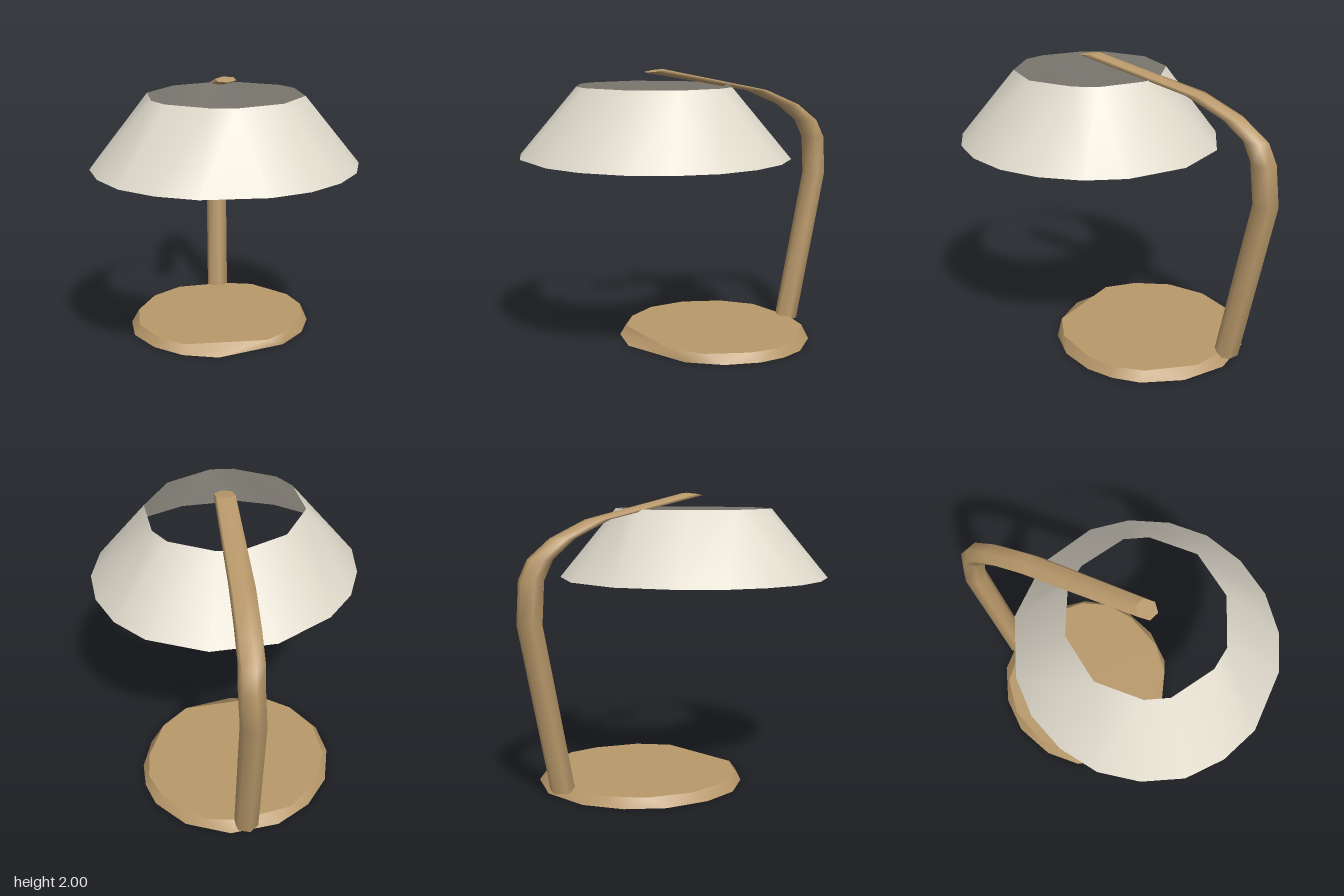
import * as THREE from 'three';

const tan = new THREE.MeshStandardMaterial({ color: 0xb8986a, side: THREE.DoubleSide });
const cream = new THREE.MeshStandardMaterial({ color: 0xdfd9cb, side: THREE.DoubleSide });

// A loop of points with its centre, ordered by angle around that centre.
function makeLoop(points) {
  const box = new THREE.Box3().setFromPoints(points);
  const centre = box.getCenter(new THREE.Vector3());
  const angle = p => Math.atan2(p.z - centre.z, p.x - centre.x);
  const sorted = [...points].sort((a, b) => angle(a) - angle(b));
  return { centre, points: sorted, angles: sorted.map(angle) };
}

const flatLoop = (xz, y) => makeLoop(xz.map(([x, z]) => new THREE.Vector3(x, y, z)));

// Smooth skin through loops from bottom to top; neighbours may differ in corner count.
function loft(loops) {
  const points = [], index = [];
  const starts = loops.map(l => points.push(...l.points) - l.points.length);
  for (let k = 0; k + 1 < loops.length; k++) {
    const lower = loops[k], upper = loops[k + 1];
    const n = lower.points.length, m = upper.points.length;
    const a = i => starts[k] + (i % n), b = j => starts[k + 1] + (j % m);
    const at = (l, i) => l.angles[i] ?? l.angles[0] + Math.PI * 2;
    let i = 0, j = 0;
    while (i < n || j < m) {
      if (j >= m || (i < n && at(lower, i + 1) <= at(upper, j + 1))) {
        index.push(a(i), b(j), a(i + 1));
        i++;
      } else {
        index.push(a(i), b(j), b(j + 1));
        j++;
      }
    }
  }
  const geometry = new THREE.BufferGeometry().setFromPoints(points);
  geometry.setIndex(index);
  geometry.computeVertexNormals();
  return geometry;
}

// Flat fan closing a loop.
function cap(loop, up) {
  const n = loop.points.length, index = [];
  for (let i = 0; i < n; i++) {
    const j = (i + 1) % n;
    index.push(n, up ? j : i, up ? i : j);
  }
  const geometry = new THREE.BufferGeometry().setFromPoints([...loop.points, loop.centre]);
  geometry.setIndex(index);
  geometry.computeVertexNormals();
  return geometry;
}

function part(name, geometry, material) {
  const mesh = new THREE.Mesh(geometry, material);
  mesh.name = name;
  return mesh;
}

function createBase() {
  const bottom = flatLoop([
    [-0.42, -1], [-0.13, -1], [0.05, -0.92], [0.2, -0.79], [0.33, -0.57], [0.375, -0.3],
    [0.195, 0.2], [-0.02, 0.355], [-0.27, 0.41], [-0.54, 0.37], [-0.75, 0.22],
    [-0.915, -0.03], [-0.965, -0.3], [-0.915, -0.58], [-0.715, -0.86]], 0);
  const top = flatLoop([
    [-0.16, -0.96], [-0.525, -0.925], [-0.71, -0.78], [-0.915, -0.445], [-0.915, -0.165],
    [-0.78, 0.12], [-0.55, 0.31], [-0.285, 0.365], [-0.045, 0.315], [0.335, -0.17],
    [0.335, -0.43], [0.2, -0.72], [0.05, -0.88]], 0.065);
  const base = new THREE.Group();
  base.name = 'base';
  base.add(
    part('baseRim', loft([bottom, top]), tan),
    part('baseTop', cap(top, true), tan),
    part('baseUnderside', cap(bottom, false), tan));
  return base;
}

// Bent arm: near-horizontal six-sided sections along a curved path.
function createArm() {
  const path = [ // x, y, z, size, tilt
    [-0.76, 0.04, -0.748, 1, 0], [-0.93, 1.18, -0.9, 1, 0], [-0.903, 1.46, -0.89, 1, 0],
    [-0.86, 1.59, -0.84, 1, 0], [-0.735, 1.715, -0.725, 1, 0],
    [-0.53, 1.83, -0.535, 1, 0], [0.095, 1.99, 0.03, 0.88, -0.1]];
  const rings = path.map(([x, y, z, size, tilt]) => {
    const ring = [];
    for (let i = 0; i < 6; i++) {
      const t = Math.PI / 6 + i * Math.PI / 3;
      const dx = Math.cos(t) * 0.085 * size, dz = Math.sin(t) * 0.085 * size;
      ring.push(new THREE.Vector3(x + dx, y + (dx + dz) * tilt, z + dz));
    }
    return makeLoop(ring);
  });
  const arm = new THREE.Group();
  arm.name = 'arm';
  arm.add(
    part('armTube', loft(rings), tan),
    part('armFoot', cap(rings[0], false), tan),
    part('armTip', cap(rings[rings.length - 1], true), tan));
  return arm;
}

// Open conical shade.
function createShade() {
  const lower = flatLoop([
    [-0.05, -0.915], [0.235, -0.915], [0.51, -0.82], [0.74, -0.65], [0.91, -0.4], [1, -0.11],
    [1, 0.19], [0.91, 0.465], [0.63, 0.81], [0.375, 0.945], [0.095, 1], [-0.19, 0.945],
    [-0.445, 0.81], [-0.64, 0.595], [-0.77, 0.33], [-0.81, 0.04], [-0.72, -0.4], [-0.44, -0.745]], 1.4);
  const upper = flatLoop([
    [0.095, -0.53], [0.26, -0.5], [0.53, -0.3], [0.625, 0.03], [0.525, 0.37], [0.405, 0.485],
    [0.095, 0.595], [-0.07, 0.565], [-0.335, 0.37], [-0.435, 0.03], [-0.335, -0.3], [-0.215, -0.415]], 1.89);
  return part('shade', loft([lower, upper]), cream);
}

export function createModel() {
  const model = new THREE.Group();
  model.name = 'deskLamp';
  model.add(createBase(), createArm(), createShade());
  return model;
}
